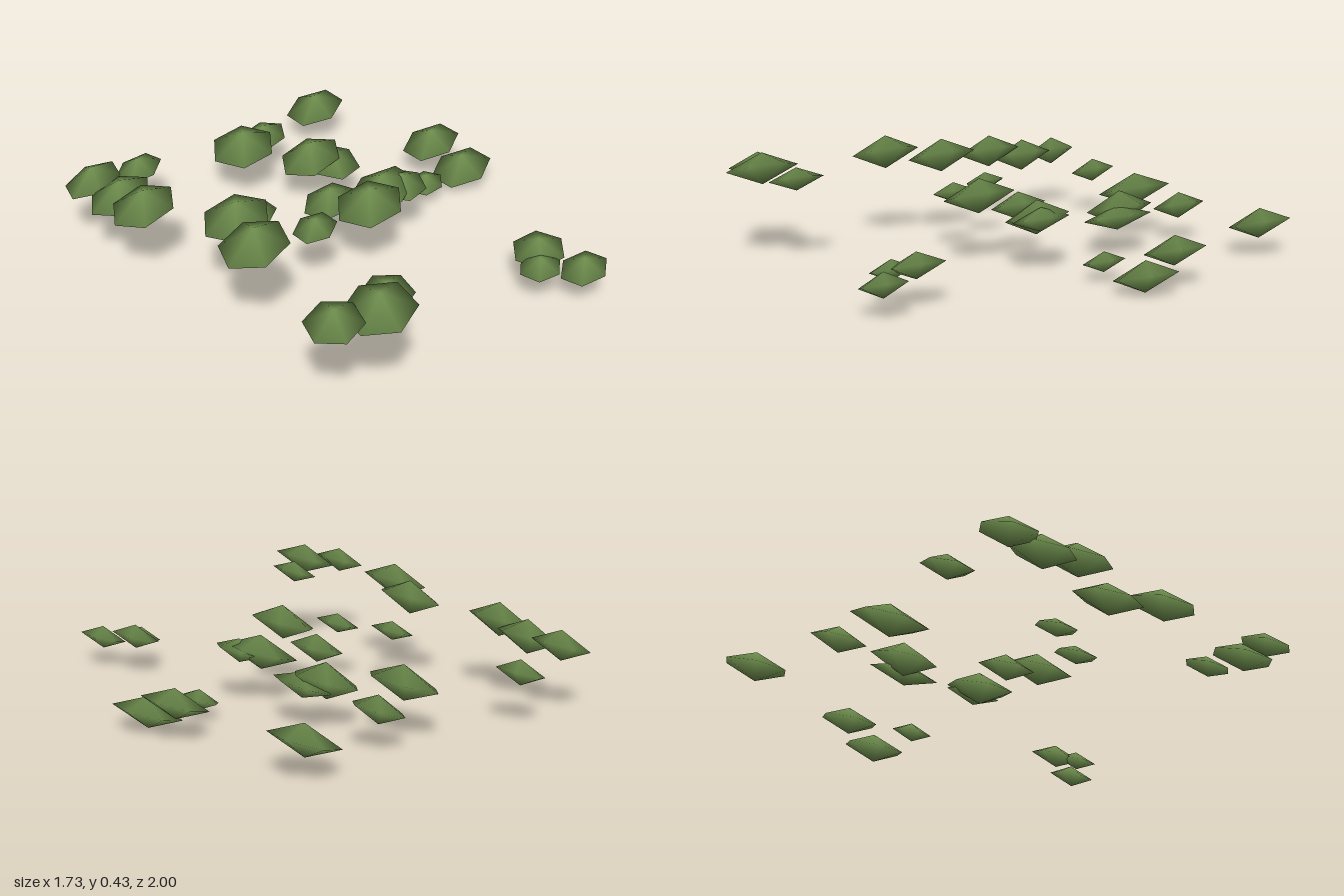
import * as THREE from 'three';

// Each clump: x, y, z of its centre, half width, half depth, turn in degrees
const clusters = {
  backLeafClumps: [
    [-0.75, 0.26, -0.71, 0.115, 0.105, 42], [-0.73, 0.26, -0.53, 0.132, 0.11, 0],
    [-0.73, 0.295, -0.35, 0.132, 0.118, 0], [-0.5, 0.2, -0.77, 0.095, 0.095, 20],
    [-0.04, 0.2, -0.655, 0.13, 0.152, 9], [0.14, 0.15, -0.755, 0.103, 0.095, 0],
    [0.52, 0.13, -0.868, 0.115, 0.132, 32], [0.155, 0.18, -0.425, 0.135, 0.115, 0],
    [0.225, 0.16, -0.365, 0.095, 0.135, 0],
  ],
  middleLeafClumps: [
    [0.71, 0.135, -0.265, 0.11, 0.122, 30], [0.745, 0.065, -0.1, 0.115, 0.13, 30],
    [0.515, 0.075, -0.08, 0.075, 0.08, 10], [-0.37, 0.24, -0.1, 0.073, 0.09, 30],
    [-0.25, 0.24, 0.13, 0.075, 0.093, 30], [-0.54, 0.34, 0.015, 0.132, 0.135, 6],
    [-0.62, 0.365, 0.245, 0.132, 0.135, 50], [-0.035, 0.2, -0.05, 0.107, 0.11, 15],
    [0, 0.27, 0.16, 0.132, 0.14, 10], [0.19, 0.2, 0.01, 0.13, 0.13, 30],
    [0.27, 0.21, 0.045, 0.09, 0.105, 0],
  ],
  frontLeafClumps: [
    [-0.69, 0.355, 0.805, 0.1, 0.115, 50], [-0.53, 0.37, 0.855, 0.12, 0.145, 42],
    [-0.415, 0.335, 0.76, 0.087, 0.11, 45], [0.425, 0.15, 0.69, 0.095, 0.113, 14],
    [0.365, 0.13, 0.76, 0.075, 0.09, 20], [0.5, 0.12, 0.865, 0.09, 0.095, 20],
  ],
};

const SLOPE = 0.3; // every clump leans upward toward +x
const FLATNESS = 0.54; // half height relative to half width

// Smooth six-sided lens, fitted to its half width and depth and then sheared
function clumpGeometry([x, y, z, halfWidth, halfDepth, turn]) {
  const geometry = new THREE.SphereGeometry(1, 6, 2);
  geometry.rotateY(-THREE.MathUtils.degToRad(turn));
  geometry.computeBoundingBox();
  const { max } = geometry.boundingBox;
  geometry.scale(halfWidth / max.x, halfWidth * FLATNESS, halfDepth / max.z);
  geometry.applyMatrix4(new THREE.Matrix4().set(
    1, 0, 0, x,
    SLOPE, 1, 0, y,
    0, 0, 1, z,
    0, 0, 0, 1,
  ));
  return geometry;
}

export function createModel() {
  const model = new THREE.Group();
  model.name = 'scatteredFoliage';
  const leafGreen = new THREE.MeshStandardMaterial({ color: 0x6f8f4e });
  leafGreen.name = 'leafGreen';

  for (const [name, clumps] of Object.entries(clusters)) {
    const group = new THREE.Group();
    group.name = name;
    for (const clump of clumps) {
      const mesh = new THREE.Mesh(clumpGeometry(clump), leafGreen);
      mesh.name = 'leafClump';
      group.add(mesh);
    }
    model.add(group);
  }
  return model;
}
